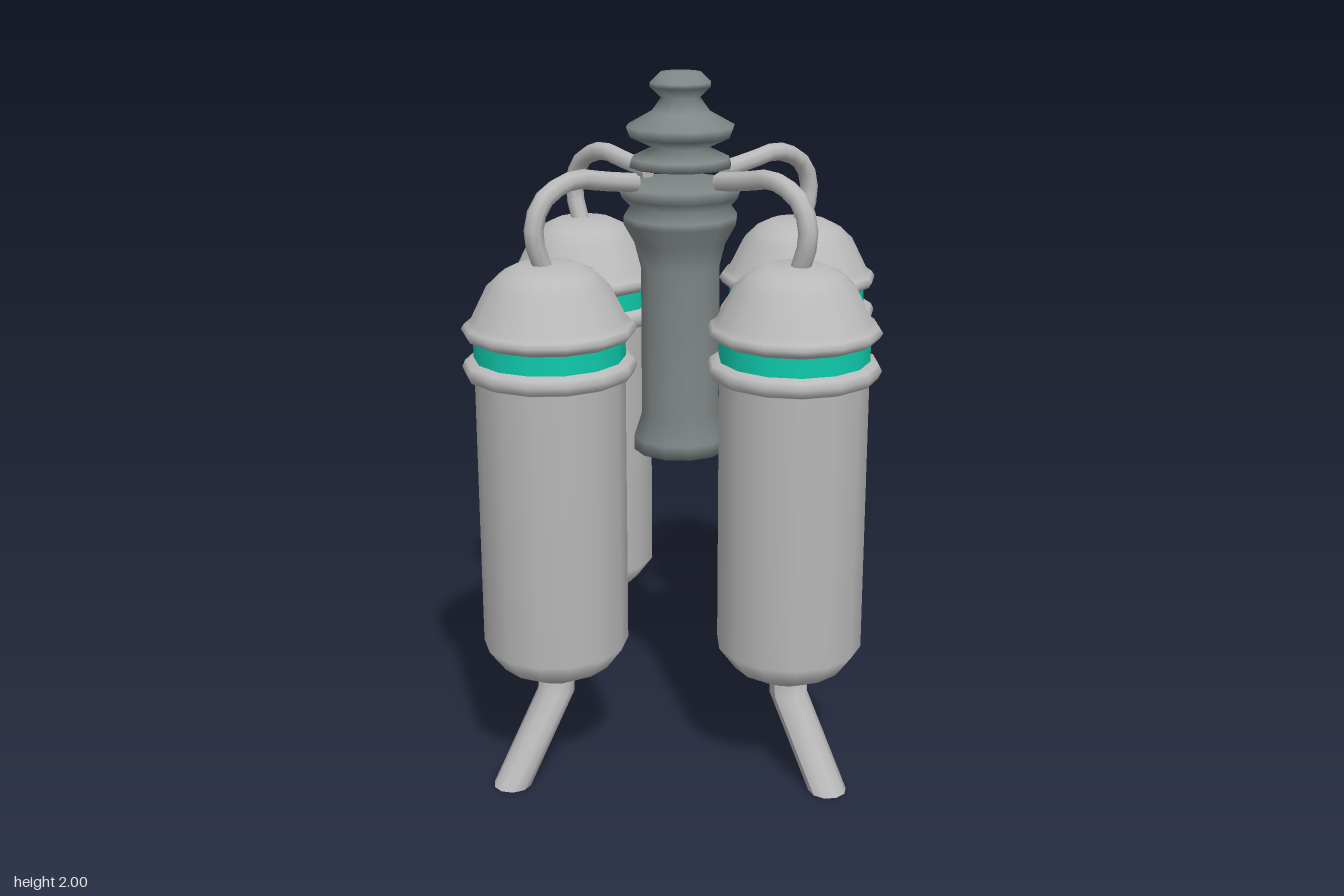
import * as THREE from 'three';

const tankMat = new THREE.MeshStandardMaterial({ name: 'light grey metal', color: 0xbababa });
const bandMat = new THREE.MeshStandardMaterial({ name: 'teal band', color: 0x0fcbad });
const columnMat = new THREE.MeshStandardMaterial({ name: 'slate grey metal', color: 0x7f8686 });

function add(parent, name, geometry, material) {
  const mesh = new THREE.Mesh(geometry, material);
  mesh.name = name;
  parent.add(mesh);
  return mesh;
}

// Turned part; profile is [radius, y] from bottom to top
function lathe(profile, sides) {
  return new THREE.LatheGeometry(profile.map(([r, y]) => new THREE.Vector2(r, y)), sides);
}

// Leg: a cylinder whose horizontal rings are shifted outwards, so the foot is cut level
function legGeometry() {
  const rings = [[0.0, 0.33], [0.005, 0.25], [0.17, 0]];
  const g = new THREE.CylinderGeometry(0.055, 0.055, 2, 10, 2);
  const p = g.attributes.position;
  for (let i = 0; i < p.count; i++) {
    const [dx, y] = rings[Math.round(1 - p.getY(i))];
    p.setXYZ(i, p.getX(i) + dx, y, p.getZ(i));
  }
  g.computeVertexNormals();
  return g;
}

// Pipe from the dome, bending outwards and then back to the column
function pipeGeometry() {
  const pts = [[0.005, 1.48], [0.045, 1.6], [0.015, 1.685], [-0.09, 1.733], [-0.2, 1.718], [-0.308, 1.702]];
  const path = new THREE.CurvePath();
  for (let i = 1; i < pts.length; i++) {
    path.add(new THREE.LineCurve3(new THREE.Vector3(...pts[i - 1], 0), new THREE.Vector3(...pts[i], 0)));
  }
  const smooth = new THREE.CatmullRomCurve3(pts.map(q => new THREE.Vector3(...q, 0)), false, 'centripetal');
  return new THREE.TubeGeometry(smooth, 12, 0.027, 8);
}

export function createModel() {
  const model = new THREE.Group();
  model.name = 'tankCluster';

  // Shared tank geometries
  const bodyGeo = lathe([[0, 0.29], [0.065, 0.295], [0.16, 0.345], [0.208, 0.41], [0.208, 1.2],
    [0.232, 1.21], [0.241, 1.232], [0.232, 1.25], [0.208, 1.258]], 14);
  const bandGeo = lathe([[0.209, 1.255], [0.209, 1.313]], 14);
  const domeGeo = lathe([[0.208, 1.31], [0.232, 1.322], [0.241, 1.338], [0.232, 1.352], [0.214, 1.365],
    [0.168, 1.457], [0.13, 1.493], [0.085, 1.515], [0, 1.518]], 14);
  const legGeo = legGeometry();
  const pipeGeo = pipeGeometry();
  const pipeEndGeo = new THREE.CircleGeometry(0.027, 8);

  // Four tanks around the column, local +x pointing outwards: [name, x, z, turn]
  const tanks = [
    ['leftTank', 0.478, -0.008, 0],
    ['backTank', -0.003, -0.455, Math.PI / 2],
    ['rightTank', -0.48, -0.005, Math.PI],
    ['frontTank', 0.013, 0.45, -Math.PI / 2],
  ];
  for (const [name, x, z, turn] of tanks) {
    const tank = new THREE.Group();
    tank.name = name;
    tank.position.set(x, 0, z);
    tank.rotation.y = turn;
    add(tank, 'tankBody', bodyGeo, tankMat);
    add(tank, 'tankBand', bandGeo, bandMat);
    add(tank, 'tankDome', domeGeo, tankMat);
    add(tank, 'leg', legGeo, tankMat);
    add(tank, 'pipe', pipeGeo, tankMat);
    const end = add(tank, 'pipeEnd', pipeEndGeo, tankMat);
    end.position.set(-0.308, 1.702, 0);
    end.rotation.y = -Math.PI / 2;
    model.add(tank);
  }

  // Central column in two turned pieces with an open gap at the pipe ends
  const column = new THREE.Group();
  column.name = 'column';
  column.position.z = -0.008;
  add(column, 'columnShaft', lathe([[0, 0.89], [0.14, 0.89], [0.14, 0.93], [0.116, 1.0], [0.116, 1.44],
    [0.135, 1.515], [0.166, 1.57], [0.166, 1.59], [0.145, 1.62], [0.17, 1.645], [0.182, 1.68], [0, 1.68]], 12), columnMat);
  add(column, 'columnFinial', lathe([[0, 1.73], [0.148, 1.73], [0.142, 1.755], [0.08, 1.785], [0.145, 1.815],
    [0.157, 1.845], [0.085, 1.885], [0.056, 1.925], [0.088, 1.955], [0.088, 1.967], [0.058, 1.995], [0, 2]], 12), columnMat);
  model.add(column);

  return model;
}
